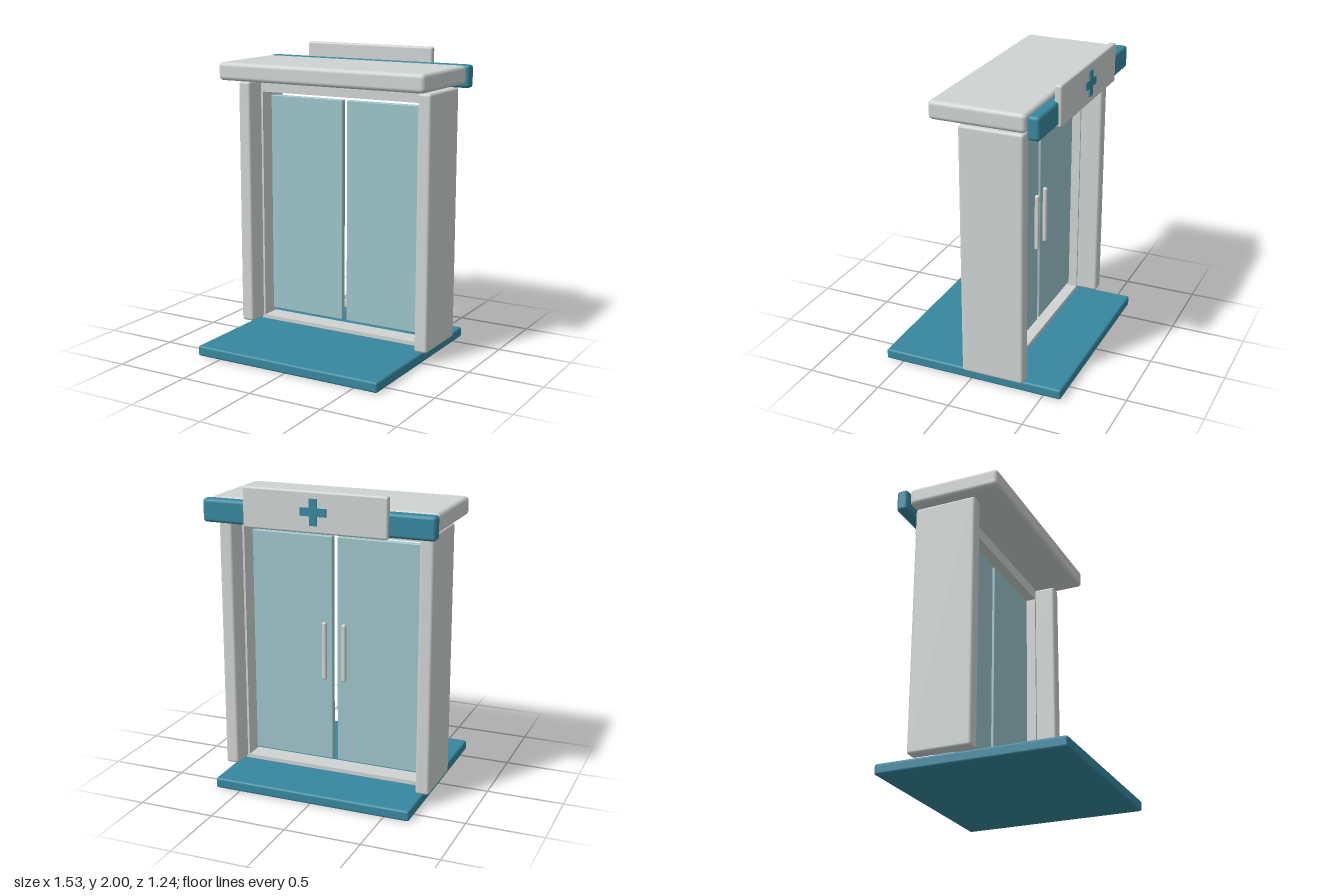
import * as THREE from 'three';
import { RoundedBoxGeometry } from 'three/addons/geometries/RoundedBoxGeometry.js';

const material = (name, color) => {
  const m = new THREE.MeshStandardMaterial({ color });
  m.name = name;
  return m;
};

export function createModel() {
  const model = new THREE.Group();
  model.name = 'clinicEntrance';
  const grey = material('pale grey', 0xcfd3d1);
  const blue = material('teal blue', 0x37879f);
  const glass = material('glass', 0x9cc3c9);

  // Box given by its [min, max] on each axis; a radius rounds its edges
  const box = (name, mat, [x0, x1], [y0, y1], [z0, z1], radius = 0) => {
    const size = [x1 - x0, y1 - y0, z1 - z0];
    const geometry = radius
      ? new RoundedBoxGeometry(...size, 3, radius)
      : new THREE.BoxGeometry(...size);
    const mesh = new THREE.Mesh(geometry, mat);
    mesh.name = name;
    mesh.position.set((x0 + x1) / 2, (y0 + y1) / 2, (z0 + z1) / 2);
    model.add(mesh);
    return mesh;
  };

  // Floor slab and roof
  box('basePlatform', blue, [-0.67, 0.67], [0, 0.07], [-0.62, 0.62], 0.015);
  box('canopy', grey, [-0.755, 0.755], [1.78, 1.9], [-0.41, 0.215], 0.028);

  // Fascia with the sign board and its cross
  box('fasciaBar', blue, [-0.765, 0.765], [1.75, 1.9], [-0.5, -0.42], 0.022);
  box('signBoard', grey, [-0.475, 0.475], [1.74, 2], [-0.518, -0.47], 0.014);
  box('crossUpright', blue, [-0.025, 0.025], [1.79, 1.955], [-0.528, -0.51]);
  for (const [a, b] of [[-0.085, -0.025], [0.025, 0.085]]) {
    box('crossArm', blue, [a, b], [1.848, 1.898], [-0.528, -0.51]);
  }

  // Door frame across the opening
  const frameDepth = [-0.235, -0.1];
  box('header', grey, [-0.635, 0.635], [1.68, 1.76], frameDepth);
  box('sill', grey, [-0.635, 0.635], [0.068, 0.096], frameDepth);
  box('doorSensor', grey, [-0.145, 0.145], [1.695, 1.725], [-0.262, -0.23], 0.006);

  // Mirrored pillars, jambs, glass doors and handles
  for (const s of [-1, 1]) {
    const span = (a, b) => (s > 0 ? [a, b] : [-b, -a]);
    box('pillar', grey, span(0.627, 0.717), [0.08, 1.76], [-0.38, 0.04], 0.018);
    box('jamb', grey, span(0.613, 0.64), [0.09, 1.69], frameDepth);
    box('glassDoor', glass, span(0.017, 0.577), [0.14, 1.655], [-0.19, -0.15], 0.006);
    box('doorHandle', grey, span(0.053, 0.083), [0.7, 1.09], [-0.218, -0.187], 0.012);
  }
  return model;
}
